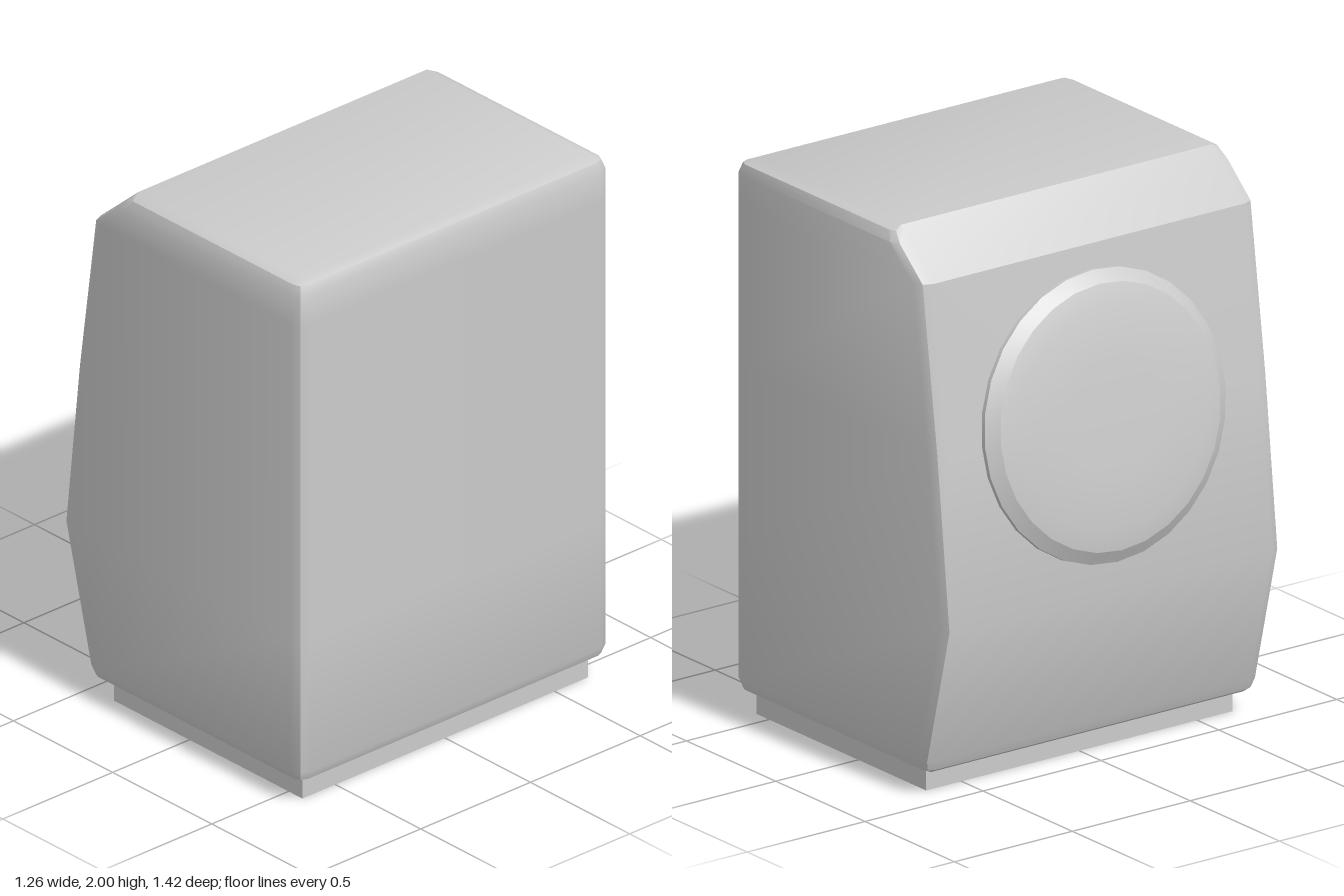
import * as THREE from 'three';
import { toCreasedNormals } from 'three/addons/utils/BufferGeometryUtils.js';

const BEVEL = 0.05;

// Horizontal ring: rectangle whose corners are cut by a two-step bevel of size c
function ring(y, x0, x1, z, c) {
  const k = 0.3 * c;
  const corner = (sx, sz, alongX) => {
    const x = sx > 0 ? x1 : x0;
    const points = [[x - sx * c, y, sz * z], [x - sx * k, y, sz * (z - k)], [x, y, sz * (z - c)]];
    return alongX ? points : points.reverse();
  };
  return [...corner(1, 1, true), ...corner(1, -1, false), ...corner(-1, -1, true), ...corner(-1, 1, false)];
}

// Skin a stack of rings from the bottom up, with an optional flat cap on top
function loft(rings, capped) {
  const n = rings[0].length;
  const index = [];
  for (let i = 0; i < rings.length - 1; i++) {
    for (let j = 0; j < n; j++) {
      const a = i * n + j, b = i * n + (j + 1) % n;
      index.push(a, b, b + n, a, b + n, a + n);
    }
  }
  const top = (rings.length - 1) * n;
  if (capped) for (let j = 1; j < n - 1; j++) index.push(top, top + j, top + j + 1);
  const geometry = new THREE.BufferGeometry();
  geometry.setAttribute('position', new THREE.Float32BufferAttribute(rings.flat(2), 3));
  geometry.setIndex(index);
  return toCreasedNormals(geometry, 0.6);
}

export function createModel() {
  const group = new THREE.Group();
  const material = new THREE.MeshStandardMaterial({ color: 0xcccccc, side: THREE.DoubleSide });
  const add = (name, geometry) => {
    const mesh = new THREE.Mesh(geometry, material);
    mesh.name = name;
    group.add(mesh);
    return mesh;
  };

  // Cabinet shell, hollow and open above the plinth: height, door-side x, inset
  const rows = [
    [0.08, -0.42, 0.05],
    [0.095, -0.445, 0.015],
    [0.13, -0.46, 0],
    [0.63, -0.585, 0],
    [1.25, -0.517, 0],
    [1.84, -0.435, 0],
    [1.95, -0.308, 0],
    [1.985, -0.268, 0.015],
    [2, -0.252, 0.05],
  ];
  const opening = (y) => ring(y, -0.38, 0.57, 0.65, 0);
  const shell = rows.map(([y, x0, inset]) => ring(y, x0, 0.625 - inset, 0.71 - inset, BEVEL - inset));
  add('cabinet', loft([opening(0.08), ...shell], true));

  // Open plinth frame under the cabinet
  add('plinth', loft([opening(0), opening(0.08)], false));

  // Round door, tilted to lie on the sloping face
  const profile = [
    [0.49, -0.015], [0.51, 0.005], [0.51, 0.022], [0.465, 0.053], [0.39, 0.07], [0.2, 0.076], [0, 0.078],
  ].map(([r, h]) => new THREE.Vector2(r, h));
  const door = add('door', toCreasedNormals(new THREE.LatheGeometry(profile, 28), 0.36));
  door.rotation.z = 1.433;
  door.position.set(-0.515, 1.25, -0.01);

  return group;
}
